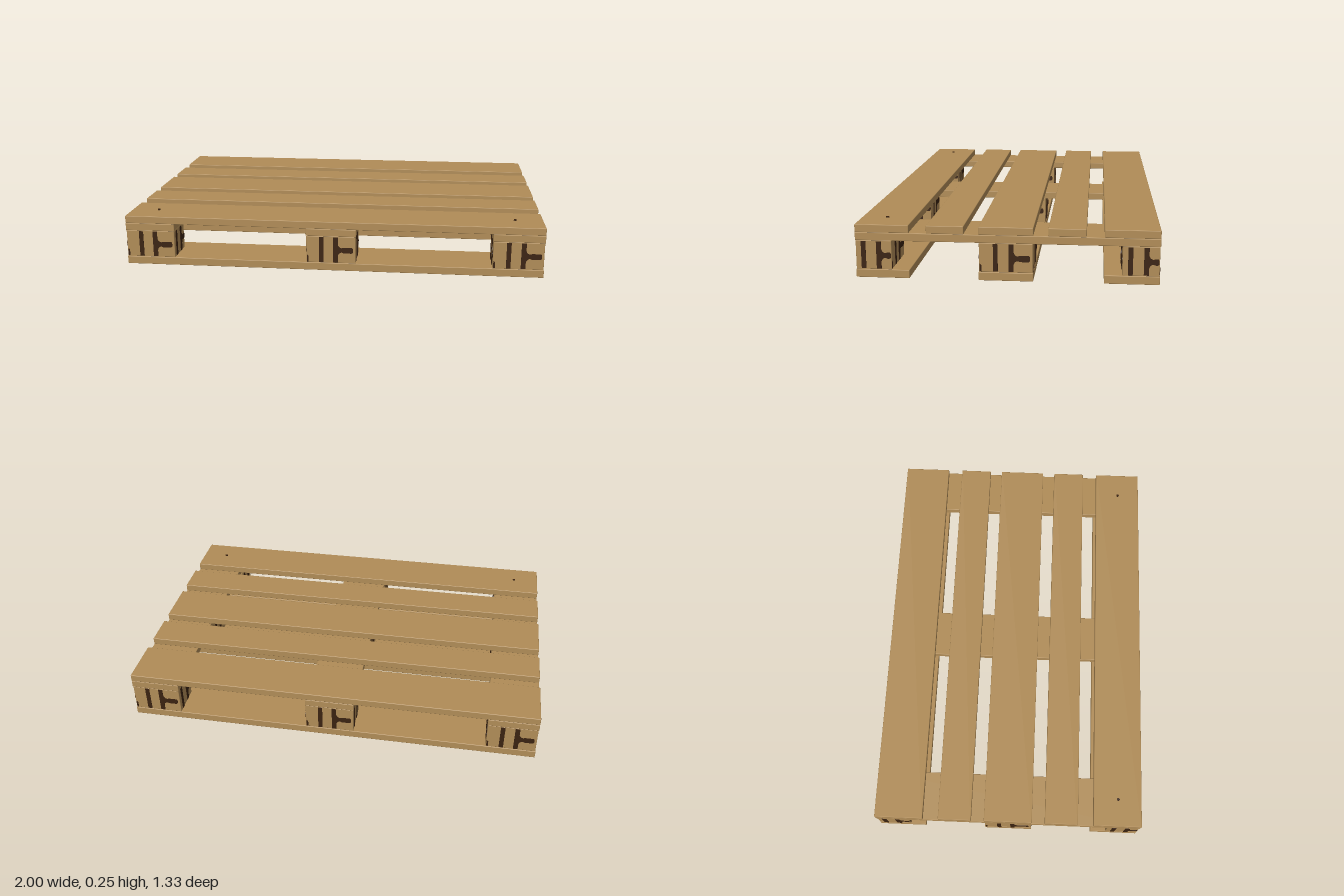
import * as THREE from 'three';
import { RoundedBoxGeometry } from 'three/addons/geometries/RoundedBoxGeometry.js';

const wood = new THREE.MeshStandardMaterial({ color: 0xb08c57 });
wood.name = 'wood';
const dark = new THREE.MeshStandardMaterial({ color: 0x3a2210 });
dark.name = 'dark grain';

const BLOCK_Y0 = 0.038, BLOCK_Y1 = 0.17, PLATE = 0.002;

// Plank or block with slightly eased edges, placed by its centre
function plank(name, w, h, d, x, y, z) {
  const mesh = new THREE.Mesh(new RoundedBoxGeometry(w, h, d, 1, 0.003), wood);
  mesh.name = name;
  mesh.position.set(x, y, z);
  return mesh;
}

// Dark grain bands and a side knot, drawn about the middle of one block face
function grainShapes(half) {
  const low = -0.062, high = 0.062;
  const band = (a, b) => new THREE.Shape([
    new THREE.Vector2(a, low), new THREE.Vector2(b, low),
    new THREE.Vector2(b, high), new THREE.Vector2(a, high)]);
  const end = Math.min(0.107, half - 0.002);
  const knot = new THREE.Shape();
  knot.moveTo(0.034, -0.03);
  knot.quadraticCurveTo(0.038, -0.014, 0.052, -0.012);
  knot.lineTo(0.062, -0.016);
  knot.lineTo(end - 0.008, -0.016);
  knot.quadraticCurveTo(end, -0.014, end, -0.003);
  knot.quadraticCurveTo(end, 0.011, end - 0.008, 0.012);
  knot.lineTo(0.062, 0.012);
  knot.lineTo(0.052, 0.009);
  knot.quadraticCurveTo(0.038, 0.011, 0.034, 0.027);
  const chip = new THREE.Shape([
    new THREE.Vector2(-half + 0.003, low), new THREE.Vector2(-half + 0.011, low),
    new THREE.Vector2(-half + 0.011, -0.034), new THREE.Vector2(-half + 0.003, -0.026)]);
  const shapes = [band(-0.056, -0.035), band(0.012, 0.034), knot];
  if (half > 0.1) shapes.push(chip);
  return shapes;
}

function grainGeometry(half) {
  return new THREE.ExtrudeGeometry(grainShapes(half),
    { depth: PLATE, bevelEnabled: false, curveSegments: 5 });
}

// Spacer block with grain plates on its four upright faces
function block(x, z, depth) {
  const g = new THREE.Group();
  g.name = 'spacerBlock';
  const w = 0.236, d = depth - 0.004, h = BLOCK_Y1 - BLOCK_Y0;
  g.add(plank('blockBody', w, h, d, 0, 0, 0));
  for (let i = 0; i < 4; i++) {
    const side = i % 2 === 1;
    const grain = new THREE.Mesh(grainGeometry((side ? d : w) / 2), dark);
    grain.name = 'grainMarks';
    const angle = i * Math.PI / 2;
    const out = (side ? w : d) / 2;
    grain.rotation.y = angle;
    grain.position.set(Math.sin(angle) * out, 0, Math.cos(angle) * out);
    g.add(grain);
  }
  g.position.set(x, (BLOCK_Y0 + BLOCK_Y1) / 2, z);
  return g;
}

export function createModel() {
  const model = new THREE.Group();
  model.name = 'pallet';

  // Deck boards: wide at the edges and middle, narrower between
  for (const [z, d] of [[-0.547, 0.24], [-0.267, 0.165], [0, 0.24], [0.267, 0.165], [0.547, 0.24]])
    model.add(plank('deckBoard', 2, 0.036, d, 0, 0.224, z));

  // Cross boards under the deck
  for (const x of [-0.88, 0, 0.88])
    model.add(plank('crossBoard', 0.24, 0.036, 1.334, x, 0.188, 0));

  // Bottom runners
  for (const z of [-0.547, 0, 0.547])
    model.add(plank('bottomBoard', 2, 0.038, 0.24, 0, 0.019, z));

  // Nine spacer blocks, shallower along the front and back
  for (const x of [-0.88, 0, 0.88])
    for (const [z, d] of [[-0.585, 0.164], [0, 0.24], [0.585, 0.164]])
      model.add(block(x, z, d));

  // Nail heads on the front deck board
  for (const x of [-0.867, 0.867]) {
    const nail = new THREE.Mesh(new THREE.CylinderGeometry(0.007, 0.007, 0.008, 10), dark);
    nail.name = 'nailHead';
    nail.position.set(x, 0.243, 0.55);
    model.add(nail);
  }
  return model;
}
